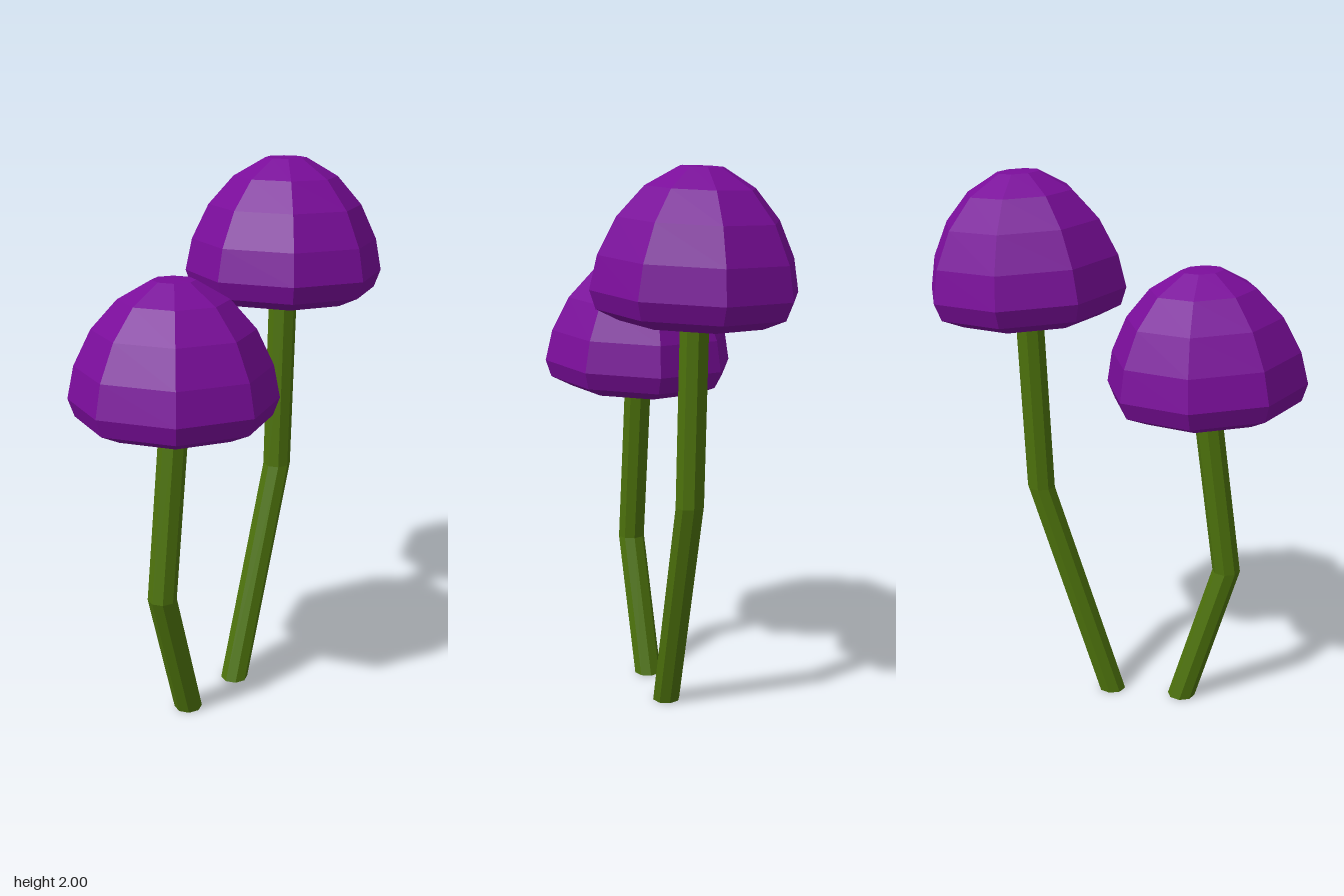
import * as THREE from 'three';

const capMaterial = new THREE.MeshStandardMaterial({ color: 0x7a0d9a, flatShading: true });
const stemMaterial = new THREE.MeshStandardMaterial({ color: 0x4d720c, flatShading: true });

// Cap outline [radius, height above rim]: collar, hollow underside, rolled rim, dome
const capProfile = [
  [0.05, -0.125], [0.19, -0.03], [0.26, -0.1], [0.34, -0.063], [0.363, 0],
  [0.34, 0.115], [0.28, 0.24], [0.19, 0.342], [0.075, 0.408], [0, 0.41],
].map(([r, h]) => new THREE.Vector2(r, h));

// Eight-sided stem, its three level rings moved onto base, knee and top
function makeStem(base, knee, top) {
  const geometry = new THREE.CylinderGeometry(0.052, 0.052, 2, 8, 2);
  const position = geometry.attributes.position;
  for (let i = 0; i < position.count; i++) {
    const [x, y, z] = [base, knee, top][Math.round(position.getY(i)) + 1];
    position.setXYZ(i, position.getX(i) + x, y, position.getZ(i) + z);
  }
  geometry.computeVertexNormals();
  return new THREE.Mesh(geometry, stemMaterial);
}

function makeMushroom(name, stemPoints, capCentre) {
  const mushroom = new THREE.Group();
  mushroom.name = name;

  const stem = makeStem(...stemPoints);
  stem.name = 'stem';

  const cap = new THREE.Mesh(new THREE.LatheGeometry(capProfile, 8), capMaterial);
  cap.name = 'cap';
  cap.position.set(...capCentre);
  cap.rotation.set(-0.03, -0.03, -0.05);

  mushroom.add(stem, cap);
  return mushroom;
}

export function createModel() {
  const model = new THREE.Group();
  model.name = 'mushrooms';
  model.add(
    makeMushroom('tallMushroom',
      [[0.018, 0, 0], [0.287, 0.83, -0.01], [0.318, 1.5, -0.015]],
      [0.322, 1.588, -0.017]),
    makeMushroom('shortMushroom',
      [[-0.257, 0, 0], [-0.415, 0.53, 0.025], [-0.328, 1.175, 0.017]],
      [-0.323, 1.263, 0.015]),
  );
  return model;
}
